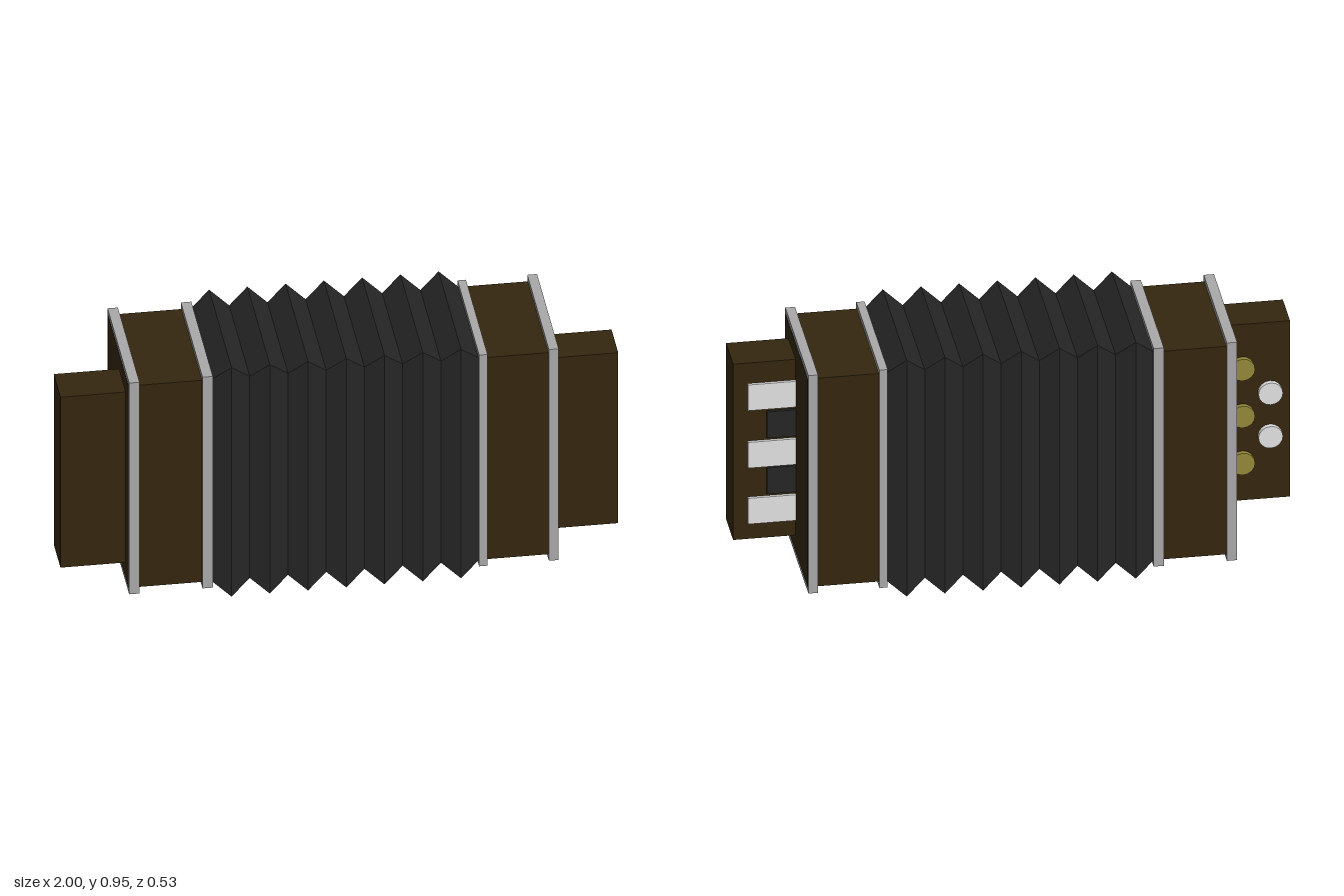
import * as THREE from 'three';

const mat = (name, color) => {
  const m = new THREE.MeshStandardMaterial({ color });
  m.name = name;
  return m;
};

export function createModel() {
  const wood = mat('dark wood', 0x35270f);
  const metal = mat('grey metal', 0xaaaaaa);
  const cloth = mat('black cloth', 0x262626);
  const ivory = mat('ivory', 0xe4e4e4);
  const brass = mat('brass', 0x938937);

  const model = new THREE.Group();
  model.name = 'accordion';
  const midY = 0.478;

  const add = (name, geometry, material) => {
    const mesh = new THREE.Mesh(geometry, material);
    mesh.name = name;
    model.add(mesh);
    return mesh;
  };
  // Box given by its limits on each axis
  const box = (name, material, [x0, x1], [y0, y1], [z0, z1]) =>
    add(name, new THREE.BoxGeometry(x1 - x0, y1 - y0, z1 - z0), material)
      .position.set((x0 + x1) / 2, (y0 + y1) / 2, (z0 + z1) / 2);

  // Bellows: rectangular cross-sections alternating between valley and peak
  const folds = 7, start = -0.468, end = 0.492;
  const ring = (i) => {
    const x = start + (end - start) * i / (folds * 2);
    const h = i % 2 ? 0.477 : 0.42, d = i % 2 ? 0.266 : 0.242;
    return [[1, 1], [1, -1], [-1, -1], [-1, 1]].map(([sy, sz]) => [x, midY + sy * h, sz * d]);
  };
  const points = [];
  for (let i = 0; i < folds * 2; i++) {
    const a = ring(i), b = ring(i + 1);
    for (let k = 0; k < 4; k++) {
      const n = (k + 1) % 4;
      points.push(...a[k], ...b[k], ...b[n], ...a[k], ...b[n], ...a[n]);
    }
  }
  const bellows = new THREE.BufferGeometry();
  bellows.setAttribute('position', new THREE.Float32BufferAttribute(points, 3));
  bellows.computeVertexNormals();
  add('bellows', bellows, cloth);

  // Wooden end cases, their metal frames and the hand blocks
  const frameY = [0.038, 0.918], frameZ = [-0.255, 0.255];
  const caseY = [0.058, 0.898], caseZ = [-0.243, 0.243];
  const blockY = [0.125, 0.835], blockZ = [0.022, 0.18];
  box('leftCase', wood, [0.5, 0.776], caseY, caseZ);
  box('leftInnerFrame', metal, [0.49, 0.52], frameY, frameZ);
  box('leftOuterFrame', metal, [0.74, 0.775], frameY, frameZ);
  box('leftBlock', wood, [0.77, 1], blockY, blockZ);
  box('rightCase', wood, [-0.766, -0.48], caseY, caseZ);
  box('rightInnerFrame', metal, [-0.502, -0.465], frameY, frameZ);
  box('rightOuterFrame', metal, [-0.765, -0.728], frameY, frameZ);
  box('rightBlock', wood, [-1, -0.76], blockY, blockZ);

  // Piano keys on the back of the left block
  for (const y of [0.242, 0.468, 0.7])
    box('whiteKey', ivory, [0.776, 0.948], [y - 0.052, y + 0.052], [0.011, 0.024]);
  for (const y of [0.358, 0.584])
    box('blackKey', cloth, [0.776, 0.88], [y - 0.053, y + 0.053], [0.011, 0.024]);

  // Round buttons on the back of the right block
  const button = (name, material, x, y) => {
    const mesh = add(name, new THREE.CylinderGeometry(0.044, 0.044, 0.02, 16), material);
    mesh.rotation.x = Math.PI / 2;
    mesh.position.set(x, y, 0.014);
  };
  for (const y of [0.28, 0.47, 0.66]) button('brassButton', brass, -0.828, y);
  for (const y of [0.38, 0.555]) button('whiteButton', ivory, -0.928, y);

  return model;
}
